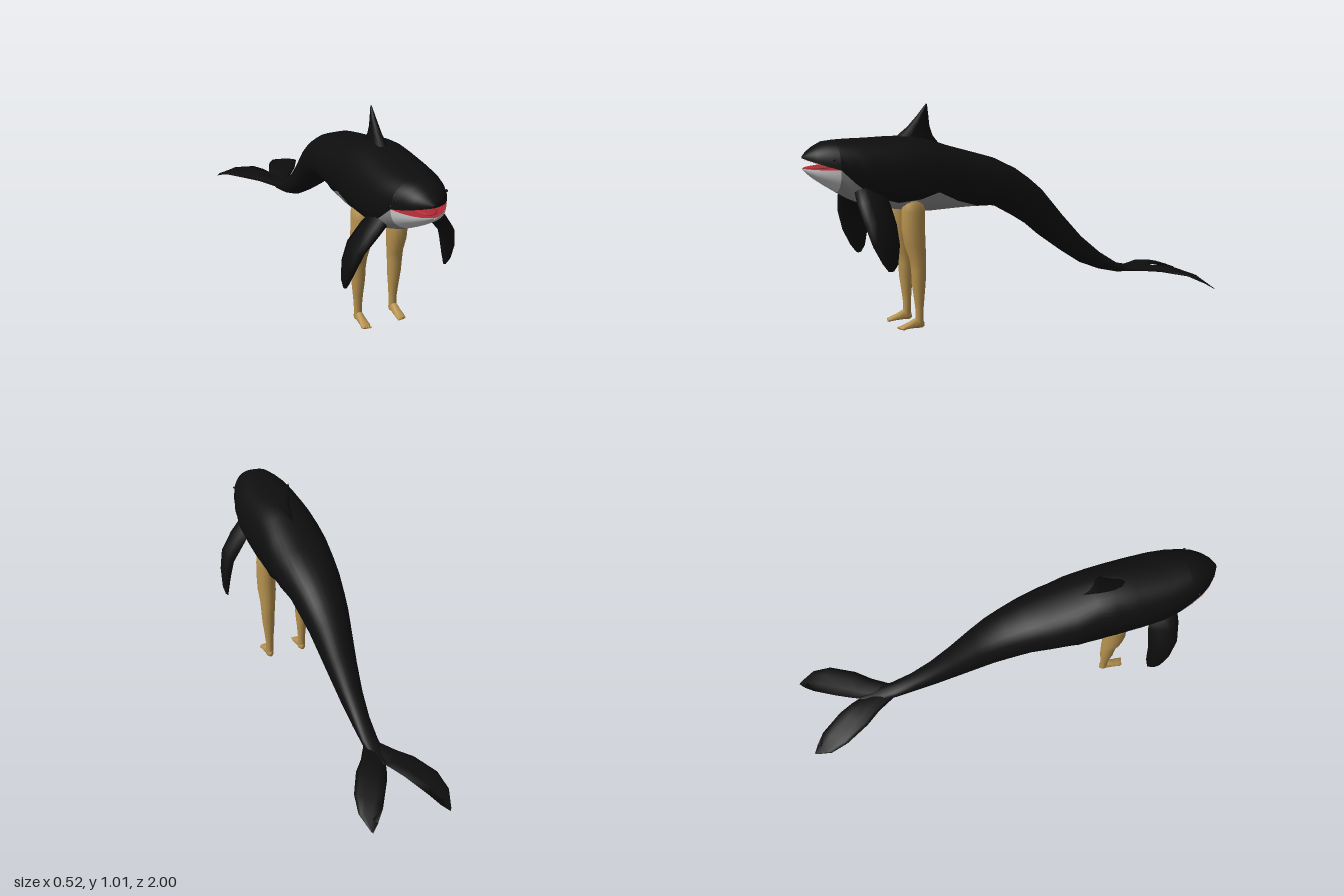
import * as THREE from 'three';

const V = (x, y, z) => new THREE.Vector3(x, y, z);
const paint = (color) => new THREE.MeshStandardMaterial({ color, side: THREE.DoubleSide });
const black = paint(0x0e0e0e), white = paint(0xcccccc), grey = paint(0x8f8f8f);
const red = paint(0xb02a35), skin = paint(0xb8934f), bone = paint(0xc9a080);

// Joins equal-length rows of points into a smooth surface; closed rows wrap round and get end caps.
function surface(rows, closed) {
  const n = rows[0].length, pts = rows.flat(), index = [];
  for (let i = 0; i < rows.length - 1; i++) {
    for (let j = 0; j < (closed ? n : n - 1); j++) {
      const k = (j + 1) % n, a = i * n, b = a + n;
      index.push(a + j, a + k, b + j, a + k, b + k, b + j);
    }
  }
  if (closed) {
    for (const [row, flip] of [[0, true], [rows.length - 1, false]]) {
      const c = pts.length;
      pts.push(rows[row].reduce((s, p) => s.add(p), V(0, 0, 0)).divideScalar(n));
      for (let j = 0; j < n; j++) {
        const a = row * n + j, b = row * n + (j + 1) % n;
        index.push(c, flip ? b : a, flip ? a : b);
      }
    }
  }
  const g = new THREE.BufferGeometry().setFromPoints(pts);
  g.setIndex(index);
  g.computeVertexNormals();
  return g;
}

// Arc of a rounded body section between two angles in degrees.
function arc([z, yb, yc, yt, w], from, to, n) {
  const bulge = (v) => Math.sign(v) * Math.abs(v) ** 0.87;
  return Array.from({ length: n + 1 }, (_, i) => {
    const a = THREE.MathUtils.degToRad(from + (to - from) * i / n);
    const s = bulge(Math.sin(a));
    return V(w * bulge(Math.cos(a)), yc + s * (s > 0 ? yt - yc : yc - yb), z);
  });
}

// Thin lens-shaped blade: each section is [leading edge, trailing edge, thickness].
function blade(sections, normal) {
  const profile = [[0, 0], [0.12, 0.7], [0.35, 1], [0.7, 0.6], [1, 0], [0.7, -0.6], [0.35, -1], [0.12, -0.7]];
  return surface(sections.map(([lead, trail, t]) => profile.map(([u, h]) =>
    V(...lead).lerp(V(...trail), u).addScaledVector(normal, h * t / 2))), true);
}

export function createModel() {
  const model = new THREE.Group();
  const add = (name, geometry, material, parent = model) => {
    const m = new THREE.Mesh(geometry, material);
    m.name = name;
    parent.add(m);
    return m;
  };

  // Body sections: z, bottom, widest height, top, half width, angle where the belly colour starts
  const body = [
    [0.86, 0.635, 0.745, 0.865, 0.128, 0], [0.80, 0.60, 0.735, 0.867, 0.145, 18],
    [0.72, 0.565, 0.715, 0.867, 0.158, 35], [0.60, 0.545, 0.70, 0.87, 0.161, 45],
    [0.50, 0.53, 0.69, 0.868, 0.161, 32], [0.42, 0.525, 0.685, 0.85, 0.161, 18],
    [0.32, 0.53, 0.67, 0.815, 0.16, 38], [0.20, 0.532, 0.65, 0.78, 0.145, 70],
    [0.10, 0.527, 0.63, 0.75, 0.13, 89], [0.00, 0.47, 0.58, 0.70, 0.114, 89],
    [-0.07, 0.425, 0.54, 0.65, 0.102, 89], [-0.14, 0.365, 0.475, 0.59, 0.088, 89],
    [-0.25, 0.285, 0.37, 0.46, 0.068, 89], [-0.35, 0.22, 0.285, 0.35, 0.053, 89],
    [-0.45, 0.18, 0.22, 0.265, 0.043, 89], [-0.55, 0.157, 0.178, 0.20, 0.039, 89],
    [-0.64, 0.155, 0.168, 0.18, 0.034, 89], [-0.72, 0.165, 0.17, 0.175, 0.006, 89],
  ];
  add('back', surface(body.map((s) => arc(s, -s[5], 180 + s[5], 28))), black);
  add('belly', surface(body.slice(0, 9).map((s) => arc(s, 180 + s[5], 360 - s[5], 16))), grey);
  add('tailUnderside', surface(body.slice(8).map((s) => arc(s, 269, 271, 1))), black);

  // Open mouth: two half-round jaws with red linings
  const upper = [
    [0.86, 0, 0.745, 0.865, 0.128], [0.91, 0, 0.76, 0.86, 0.106], [0.95, 0, 0.773, 0.84, 0.079],
    [0.98, 0, 0.783, 0.82, 0.047], [1.0, 0, 0.79, 0.80, 0.01],
  ];
  const lower = [
    [0.86, 0.635, 0.745, 0, 0.128], [0.91, 0.667, 0.745, 0, 0.105], [0.95, 0.695, 0.745, 0, 0.077],
    [0.98, 0.72, 0.745, 0, 0.045], [0.998, 0.738, 0.745, 0, 0.01],
  ];
  const lining = (jaw) => surface(jaw.map(([z, , y, , w]) => [V(-w, y, z), V(w, y, z)]));
  add('upperJaw', surface(upper.map((s) => arc(s, 0, 180, 20))), black);
  add('snoutTip', surface([arc(upper[4], 0, 180, 8), arc([1, 0, 0.79, 0.79, 0], 0, 180, 8)]), black);
  add('lowerJaw', surface(lower.map((s) => arc(s, 180, 360, 20))), white);
  add('palate', lining(upper), red);
  add('mouthFloor', lining(lower), red);
  const tongue = add('tongue', new THREE.SphereGeometry(1, 16, 8), red);
  tongue.scale.set(0.045, 0.009, 0.055);
  tongue.position.set(0, 0.746, 0.925);

  // Dorsal fin
  add('dorsalFin', blade([
    [[0, 0.84, 0.59], [0, 0.82, 0.36], 0.085], [[0, 0.875, 0.56], [0, 0.865, 0.395], 0.05],
    [[0, 0.91, 0.515], [0, 0.91, 0.41], 0.035], [[0, 0.96, 0.468], [0, 0.96, 0.415], 0.022],
    [[0, 1.0, 0.435], [0, 0.995, 0.419], 0.01], [[0, 1.01, 0.426], [0, 1.008, 0.421], 0.003],
  ], V(1, 0, 0)), black);

  // Paired parts, built on the left and mirrored
  for (const side of [1, -1]) {
    const half = new THREE.Group();
    half.name = side > 0 ? 'leftSide' : 'rightSide';
    half.scale.x = side;
    model.add(half);

    add('flipper', blade([
      [[0.11, 0.65, 0.80], [0.11, 0.65, 0.67], 0.07], [[0.155, 0.595, 0.80], [0.155, 0.595, 0.652], 0.07],
      [[0.215, 0.51, 0.785], [0.215, 0.51, 0.642], 0.06], [[0.238, 0.42, 0.758], [0.238, 0.42, 0.636], 0.048],
      [[0.247, 0.345, 0.72], [0.247, 0.335, 0.648], 0.032], [[0.245, 0.307, 0.692], [0.245, 0.306, 0.667], 0.015],
    ], V(0.93, 0.36, 0)), black);

    add('tailFluke', blade([
      [[0.03, 0.17, -0.55], [-0.002, 0.17, -0.72], 0.025], [[0.085, 0.171, -0.645], [0.015, 0.173, -0.765], 0.022],
      [[0.14, 0.17, -0.715], [0.045, 0.168, -0.83], 0.02], [[0.20, 0.152, -0.83], [0.11, 0.128, -0.935], 0.016],
      [[0.216, 0.115, -0.915], [0.15, 0.09, -0.975], 0.011], [[0.192, 0.072, -0.99], [0.184, 0.066, -1.0], 0.003],
    ], V(0, 1, 0)), black);

    const eye = add('eye', new THREE.SphereGeometry(0.006, 12, 8), black, half);
    eye.position.set(0.115, 0.79, 0.887);

    // Upper teeth along the lip
    for (let i = 0; i < 9; i++) {
      const t = i / 9;
      const tooth = add('tooth', new THREE.ConeGeometry(0.003, 0.009, 6), bone, half);
      tooth.position.set(0.012 + 0.085 * t, 0.783 - 0.026 * t, 0.985 - 0.072 * t);
      tooth.rotation.x = Math.PI;
    }

    // Leg rings: y, centre x, centre z, half width, half depth
    const leg = [
      [0.60, 0.088, 0.522, 0.044, 0.048], [0.54, 0.089, 0.522, 0.046, 0.053], [0.46, 0.089, 0.523, 0.046, 0.053],
      [0.39, 0.089, 0.517, 0.045, 0.049], [0.32, 0.09, 0.504, 0.037, 0.038], [0.27, 0.091, 0.501, 0.034, 0.034],
      [0.21, 0.09, 0.501, 0.031, 0.032], [0.14, 0.089, 0.499, 0.024, 0.024], [0.08, 0.088, 0.498, 0.019, 0.018],
      [0.03, 0.088, 0.499, 0.018, 0.019], [0.006, 0.088, 0.499, 0.016, 0.017],
    ];
    add('leg', surface(leg.map(([y, x, z, w, d]) => Array.from({ length: 14 }, (_, i) => {
      const a = i / 14 * Math.PI * 2;
      return V(x + w * Math.cos(a), y, z + d * Math.sin(a));
    })), true), skin, half);

    // Foot sections: z, bottom, middle, top, half width
    const foot = [
      [0.478, 0.006, 0.015, 0.03, 0.009], [0.49, 0, 0.018, 0.046, 0.017], [0.52, 0.002, 0.016, 0.047, 0.018],
      [0.55, 0.002, 0.012, 0.03, 0.02], [0.575, 0, 0.009, 0.02, 0.022], [0.59, 0, 0.007, 0.014, 0.019],
    ];
    const footMesh = add('foot', surface(foot.map((s) => arc(s, 0, 330, 11)), true), skin, half);
    footMesh.position.x = 0.088;
    for (let i = 0; i < 5; i++) {
      const toe = add('toe', new THREE.SphereGeometry(1, 8, 6), skin, half);
      toe.scale.set(0.0048, 0.006, 0.01);
      toe.position.set(0.072 + i * 0.0085, 0.006, 0.59 - i * 0.003);
    }

    for (const part of model.children.filter((m) => m.name === 'flipper' || m.name === 'tailFluke')) {
      if (!part.userData.placed) {
        part.userData.placed = true;
        part.scale.x = side;
      }
    }
  }
  return model;
}
